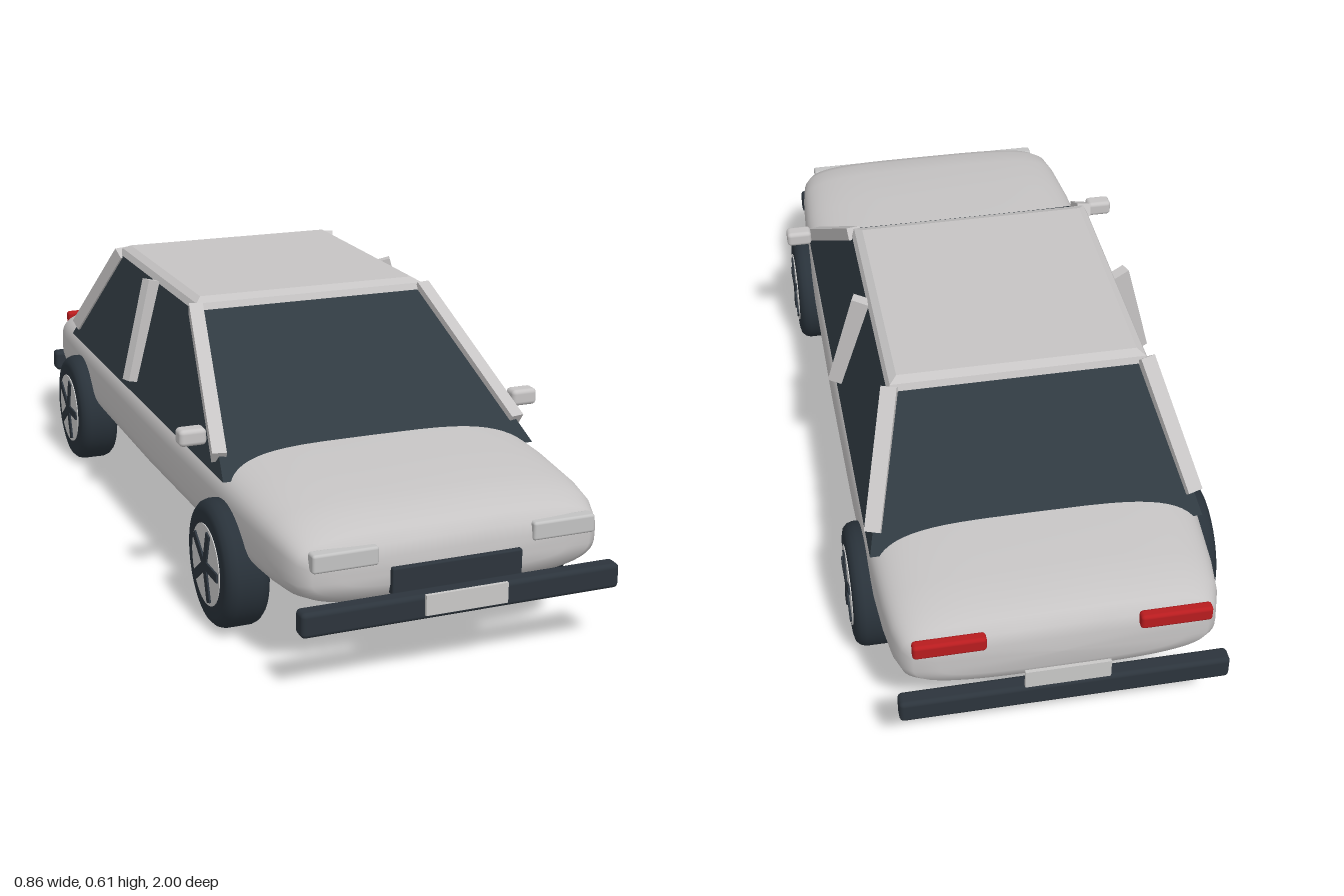
import * as THREE from 'three';
import { RoundedBoxGeometry } from 'three/addons/geometries/RoundedBoxGeometry.js';

const flat = (name, color) => {
  const m = new THREE.MeshStandardMaterial({ color });
  m.name = name;
  return m;
};

// Smooth shell lofted through rounded sections [z, half width, bottom, top]
function loftBody(sections, sides = 64) {
  const pos = [], index = [];
  const root = (v, n) => Math.sign(v) * Math.abs(v) ** (2 / n);
  for (const [z, w, y0, y1] of sections) {
    for (let j = 0; j < sides; j++) {
      const a = (j / sides) * Math.PI * 2, n = Math.sin(a) > 0 ? 4 : 3.2;
      pos.push(w * root(Math.cos(a), n), (y0 + y1) / 2 + ((y1 - y0) / 2) * root(Math.sin(a), n), z);
    }
  }
  for (let i = 0; i < sections.length - 1; i++) {
    for (let j = 0; j < sides; j++) {
      const k = (j + 1) % sides, a = i * sides, b = a + sides;
      index.push(a + j, b + j, a + k, a + k, b + j, b + k);
    }
  }
  const g = new THREE.BufferGeometry();
  g.setAttribute('position', new THREE.Float32BufferAttribute(pos, 3));
  g.setIndex(index);
  g.computeVertexNormals();
  return g;
}

// Box whose lower and upper rectangles differ: [y, half width, front z, back z]
function frustum(low, high) {
  const g = new THREE.BoxGeometry(2, 2, 2), p = g.attributes.position;
  for (let i = 0; i < p.count; i++) {
    const [y, w, zf, zb] = p.getY(i) > 0 ? high : low;
    p.setXYZ(i, p.getX(i) * w, y, p.getZ(i) > 0 ? zf : zb);
  }
  g.computeVertexNormals();
  return g;
}

export function createModel() {
  const car = new THREE.Group();
  car.name = 'car';
  const paint = flat('silver paint', 0xc6c4c4);
  const glass = flat('dark glass', 0x303a41);
  const rubber = flat('tyre rubber', 0x29323a);
  const trim = flat('dark trim', 0x2c343c);
  const metal = flat('rim metal', 0xcccccc);
  const lamp = flat('headlight', 0xc2c2c2);
  const plate = flat('number plate', 0xc9c8c7);
  const red = flat('tail light red', 0xb81c1f);

  const add = (name, geo, mat, x = 0, y = 0, z = 0, parent = car) => {
    const m = new THREE.Mesh(geo, mat);
    m.name = name;
    m.position.set(x, y, z);
    parent.add(m);
    return m;
  };
  const rbox = (w, h, d, r) => new RoundedBoxGeometry(w, h, d, 3, r);

  // Lower body
  add('body', loftBody([
    [0.945, 0.001, 0.225, 0.226],
    [0.943, 0.25, 0.2, 0.262], [0.936, 0.31, 0.178, 0.288], [0.915, 0.335, 0.158, 0.311],
    [0.87, 0.35, 0.145, 0.332], [0.8, 0.359, 0.137, 0.345], [0.65, 0.368, 0.13, 0.357],
    [0.4, 0.374, 0.124, 0.364], [0, 0.377, 0.12, 0.366], [-0.4, 0.375, 0.123, 0.365],
    [-0.65, 0.37, 0.128, 0.36], [-0.8, 0.361, 0.134, 0.35], [-0.87, 0.352, 0.141, 0.34],
    [-0.915, 0.337, 0.153, 0.323], [-0.936, 0.315, 0.173, 0.303], [-0.943, 0.26, 0.195, 0.275],
    [-0.945, 0.001, 0.235, 0.236],
  ]), paint);

  // Cabin glass and roof
  add('cabinGlass', frustum([0.32, 0.368, 0.575, -0.685], [0.59, 0.288, 0.152, -0.453]), glass);
  add('roof', frustum([0.585, 0.291, 0.162, -0.462], [0.6, 0.284, 0.155, -0.456]), paint);
  add('roofTop', frustum([0.6, 0.284, 0.155, -0.456], [0.61, 0.267, 0.13, -0.437]), paint);

  // Window pillars, each laid from its foot to its head
  const pillar = (name, foot, head, w, d) => {
    const a = new THREE.Vector3(...foot), b = new THREE.Vector3(...head);
    const m = add(name, new THREE.BoxGeometry(w, d, a.distanceTo(b)), paint);
    m.position.lerpVectors(a, b, 0.5);
    m.lookAt(b);
  };
  for (const s of [1, -1]) {
    pillar('frontPillar', [s * 0.356, 0.355, 0.515], [s * 0.285, 0.59, 0.15], 0.032, 0.03);
    pillar('rearPillar', [s * 0.354, 0.355, -0.645], [s * 0.283, 0.59, -0.45], 0.036, 0.032);
    pillar('middlePillar', [s * 0.366, 0.35, -0.104], [s * 0.302, 0.592, -0.127], 0.026, 0.045);
    add('mirror', rbox(0.062, 0.038, 0.04, 0.01), paint, s * 0.4, 0.391, 0.457);
    add('headlight', rbox(0.142, 0.04, 0.03, 0.006), lamp, s * 0.243, 0.27, 0.935);
    add('tailLight', rbox(0.155, 0.036, 0.026, 0.008), red, s * 0.24, 0.294, -0.942);
    add('bumper', rbox(0.706, 0.054, 0.04, 0.01), trim, 0, 0.163, s * 0.972);
  }

  // Grille and number plates
  add('grille', rbox(0.29, 0.06, 0.02, 0.004), trim, 0, 0.21, 0.945);
  add('frontPlate', new THREE.BoxGeometry(0.182, 0.044, 0.008), plate, 0, 0.17, 0.995);
  add('rearPlate', new THREE.BoxGeometry(0.182, 0.044, 0.008), plate, 0, 0.222, -0.995);

  // Wheels: rounded tyre, full-width rim and five dark spokes outside
  const profile = [[0.086, -0.05], [0.115, -0.05], [0.127, -0.047], [0.136, -0.038], [0.14, -0.026],
    [0.14, 0.026], [0.136, 0.038], [0.127, 0.047], [0.115, 0.05], [0.086, 0.05]]
    .map(([r, y]) => new THREE.Vector2(r, y));
  const tyreGeo = new THREE.LatheGeometry(profile, 48).rotateZ(-Math.PI / 2);
  const rimGeo = new THREE.CylinderGeometry(0.09, 0.09, 0.104, 40).rotateZ(-Math.PI / 2);
  const spokeGeo = new THREE.BoxGeometry(0.012, 0.02, 0.082).translate(0.05, 0, 0.041);
  for (const s of [1, -1]) {
    for (const z of [0.58, -0.58]) {
      const wheel = new THREE.Group();
      wheel.name = z > 0 ? 'frontWheel' : 'rearWheel';
      wheel.position.set(s * 0.36, 0.142, z);
      add('tyre', tyreGeo, rubber, 0, 0, 0, wheel);
      add('rim', rimGeo, metal, 0, 0, 0, wheel);
      for (let i = 0; i < 5; i++) {
        const spoke = add('spoke', spokeGeo, trim, 0, 0, 0, wheel);
        spoke.scale.x = s;
        spoke.geometry = s > 0 ? spokeGeo : spokeGeo.clone().translate(-0.1, 0, 0);
        spoke.scale.x = 1;
        spoke.rotation.x = (i / 5) * Math.PI * 2;
      }
      car.add(wheel);
    }
  }
  return car;
}
